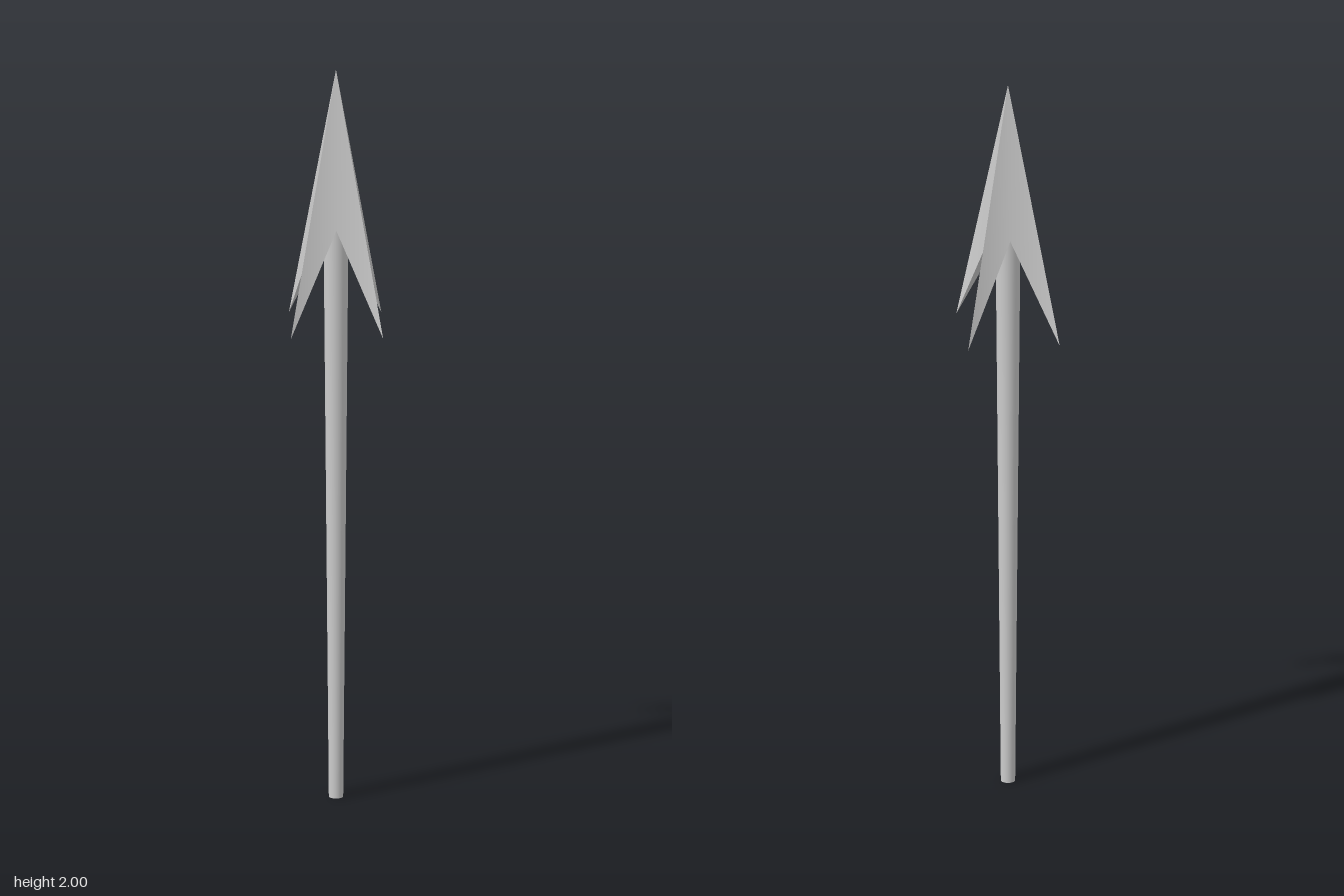
import * as THREE from 'three';

const TIP = [0, 2, 0];
const BARB_R = 0.172, BARB_Y = 1.295; // swept-back barb points
const NOTCH = 0.033, NOTCH_Y = 1.57;  // inner corners between barbs

function facets(points, index) {
  const g = new THREE.BufferGeometry();
  g.setAttribute('position', new THREE.Float32BufferAttribute(points.flat(), 3));
  g.setIndex(index);
  g.computeVertexNormals();
  return g;
}

export function createModel() {
  const model = new THREE.Group();
  const material = new THREE.MeshStandardMaterial({ color: 0xcccccc });
  const add = (parent, geometry, name) => {
    const mesh = new THREE.Mesh(geometry, material);
    mesh.name = name;
    parent.add(mesh);
    return mesh;
  };

  // Round shaft, slimmer towards its foot
  const shaft = add(model, new THREE.CylinderGeometry(0.033, 0.019, NOTCH_Y + 0.01, 32), 'shaft');
  shaft.position.y = (NOTCH_Y + 0.01) / 2;

  // Four-barbed head: smooth in each valley, sharp along each ridge
  const barbX = [BARB_R, BARB_Y, 0];
  const barbZ = [0, BARB_Y, BARB_R];
  const notchFront = [NOTCH, NOTCH_Y, NOTCH];
  const notchBack = [NOTCH, NOTCH_Y, -NOTCH];
  const valley = facets([TIP, notchFront, barbX, barbZ], [0, 1, 2, 0, 3, 1]);
  const barbUnderside = facets([notchFront, notchBack, barbX], [0, 1, 2]);
  const base = facets([[0, NOTCH_Y, 0], notchBack, notchFront], [0, 1, 2]);

  const head = new THREE.Group();
  head.name = 'arrowhead';
  for (let i = 0; i < 4; i++) {
    const quarter = new THREE.Group();
    quarter.name = 'headQuarter';
    quarter.rotation.y = i * Math.PI / 2;
    add(quarter, valley, 'headValley');
    add(quarter, barbUnderside, 'barbUnderside');
    add(quarter, base, 'headBase');
    head.add(quarter);
  }
  model.add(head);
  return model;
}
